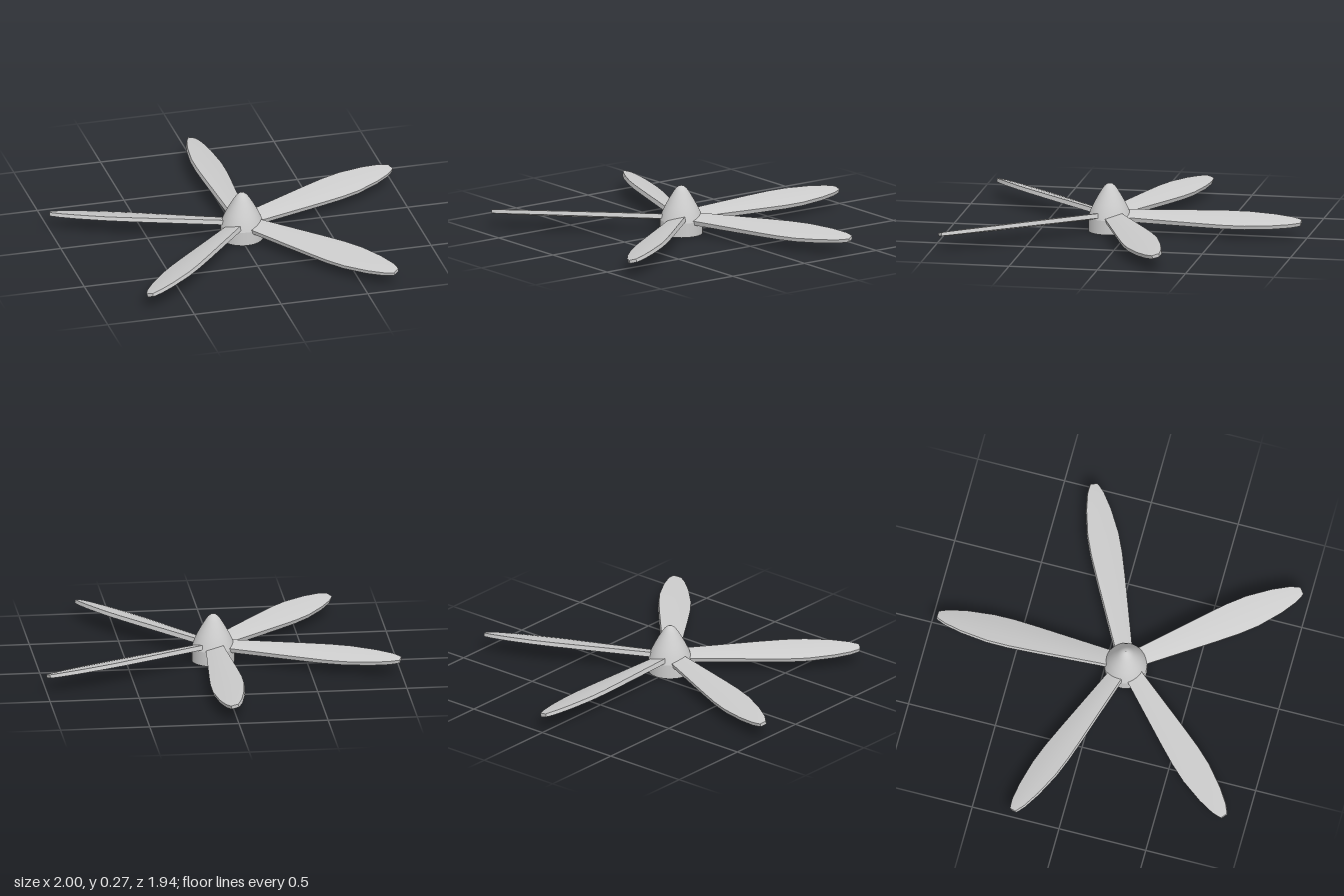
import * as THREE from 'three';
import { toCreasedNormals } from 'three/addons/utils/BufferGeometryUtils.js';

const PITCH = THREE.MathUtils.degToRad(15);

// Blade outline: [distance from the axis, width, edge thickness, middle thickness]
const STATIONS = [
  [0.04, 0.096, 0.026, 0.030],
  [0.12, 0.104, 0.026, 0.032],
  [0.32, 0.134, 0.025, 0.034],
  [0.52, 0.164, 0.024, 0.034],
  [0.66, 0.181, 0.023, 0.033],
  [0.78, 0.180, 0.022, 0.032],
  [0.93, 0.142, 0.022, 0.029],
  [1.03, 0.094, 0.021, 0.025],
  [1.07, 0.058, 0.020, 0.022],
  [1.085, 0.040, 0.018, 0.019],
];

// Angle in degrees, length and width scale of each blade
const BLADES = [
  [89.8, 1, 1],
  [24.5, 0.988, 1],
  [-51.6, 0.985, 1],
  [-134, 0.978, 0.96],
  [159.2, 0.992, 0.9],
];

// Pitched, slightly lens-shaped blade lofted along +x
function bladeGeometry(lengthScale, widthScale) {
  const pos = [], index = [], n = 8;
  const s = Math.sin(PITCH), c = Math.cos(PITCH);
  for (const [r, w, edge, mid] of STATIONS) {
    const h = w * widthScale / 2, e = edge / 2, m = mid / 2, q = h * 0.5;
    const b = e + (m - e) * 0.75;
    const section = [[h, -e], [h, e], [q, b], [0, m], [-q, b], [-h, e], [-h, -e], [0, -m]];
    for (const [u, v] of section) {
      pos.push(r * lengthScale, u * s + v * c, -u * c + v * s);
    }
  }
  const last = (STATIONS.length - 1) * n;
  for (let i = 0; i < last; i += n) {
    for (let j = 0; j < n; j++) {
      const k = (j + 1) % n;
      index.push(i + j, i + k, i + n + k, i + j, i + n + k, i + n + j);
    }
  }
  // End caps
  for (let j = 1; j < n - 1; j++) {
    index.push(last, last + j, last + j + 1);
    index.push(0, j + 1, j);
  }
  const geo = new THREE.BufferGeometry();
  geo.setAttribute('position', new THREE.Float32BufferAttribute(pos, 3));
  geo.setIndex(index);
  return toCreasedNormals(geo, THREE.MathUtils.degToRad(25));
}

export function createModel() {
  const propeller = new THREE.Group();
  propeller.name = 'propeller';
  propeller.position.set(0.014, 0, 0.115);
  const material = new THREE.MeshStandardMaterial({ color: 0xcccccc });

  // Cylindrical hub base
  const hub = new THREE.Mesh(new THREE.CylinderGeometry(0.12, 0.12, 0.08, 40), material);
  hub.name = 'hub';
  hub.position.y = 0.04;
  propeller.add(hub);

  // Rounded ogive nose
  const profile = [
    [0.12, 0.08], [0.107, 0.12], [0.088, 0.16], [0.066, 0.2],
    [0.045, 0.235], [0.03, 0.256], [0.015, 0.268], [0, 0.272],
  ].map(([x, y]) => new THREE.Vector2(x, y));
  const spinner = new THREE.Mesh(new THREE.LatheGeometry(profile, 40), material);
  spinner.name = 'spinner';
  propeller.add(spinner);

  // Five blades around the hub
  BLADES.forEach(([angle, lengthScale, widthScale], i) => {
    const blade = new THREE.Mesh(bladeGeometry(lengthScale, widthScale), material);
    blade.name = `blade${i + 1}`;
    blade.position.y = 0.09;
    blade.rotation.y = THREE.MathUtils.degToRad(angle);
    propeller.add(blade);
  });

  const model = new THREE.Group();
  model.name = 'propellerModel';
  model.add(propeller);
  return model;
}
